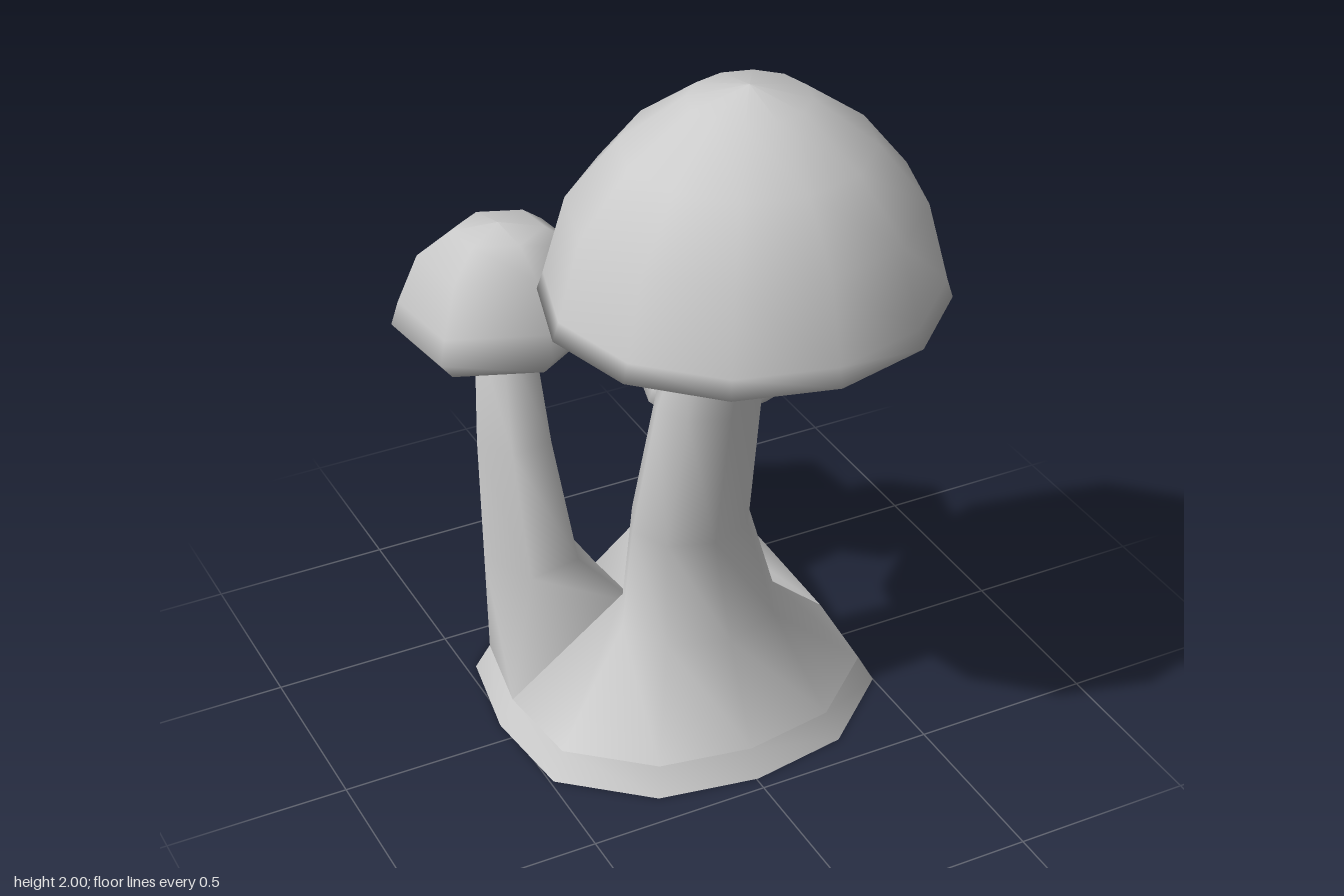
import * as THREE from 'three';

const material = new THREE.MeshStandardMaterial({ color: 0xcccccc, side: THREE.DoubleSide });
const STEP = Math.PI / 6;

// Mound radius factors from front (0) to back (6), the same on both sides
const BULGE = [1, 1.05, 1.09, 1, 1.05, 1.045, 1];

// Point k on the twelve-sided, slightly squarish ring of the mound
function moundPoint(k, radius, y) {
  const turn = (k + 12) % 12;
  const r = radius * BULGE[Math.min(turn, 12 - turn)];
  return [0.005 + r * Math.sin(k * STEP), y, -0.065 + r * Math.cos(k * STEP)];
}

// Joins closed rings of equal point count, listed from bottom to top
function loft(rings) {
  const n = rings[0].length;
  const index = [];
  for (let i = 0; i < rings.length - 1; i++) {
    for (let j = 0; j < n; j++) {
      const a = i * n + j, b = i * n + (j + 1) % n;
      index.push(a, b, a + n, b, b + n, a + n);
    }
  }
  const geometry = new THREE.BufferGeometry();
  geometry.setAttribute('position', new THREE.Float32BufferAttribute(rings.flat(2), 3));
  geometry.setIndex(index);
  geometry.computeVertexNormals();
  return geometry;
}

// Stem rising from mound points first..last and the shared hollow between the stems
// sections: [y, centre x, centre z, radius x, radius z]
function makeStem(name, first, last, sections) {
  const foot = [];
  for (let k = first; k <= last; k++) foot.push(moundPoint(k, 0.485, 0.075));
  const outer = foot.length;
  foot.push([0, 0.12, -0.25]);
  const n = foot.length;
  const middle = (first + last) / 2 * STEP;
  const rings = sections.map(([y, cx, cz, rx, rz]) => foot.map((_, j) => {
    const a = middle + (j - (outer - 1) / 2) * 2 * Math.PI / n;
    return [cx + rx * Math.sin(a), y, cz + rz * Math.cos(a)];
  }));
  const mesh = new THREE.Mesh(loft([foot, ...rings]), material);
  mesh.name = name;
  return mesh;
}

// Domed cap with a tucked-in rim and hollowed underside; profile: [radius, height]
function makeCap(name, profile, { sides, start, position, tilt, stretch }) {
  const points = profile.map(([r, y]) => new THREE.Vector2(r, y));
  const geometry = new THREE.LatheGeometry(points, sides, start);
  geometry.scale(stretch[0], 1, stretch[1]);
  const mesh = new THREE.Mesh(geometry, material);
  mesh.name = name;
  mesh.position.set(...position);
  mesh.rotation.set(tilt[0], 0, tilt[1]);
  return mesh;
}

export function createModel() {
  const group = new THREE.Group();
  group.name = 'mushroomCluster';

  // Open skirt around the foot of the cluster
  const ring = (r, y) => Array.from({ length: 12 }, (_, k) => moundPoint(k, r, y));
  const base = new THREE.Mesh(loft([ring(0.525, 0), ring(0.485, 0.075)]), material);
  base.name = 'baseSkirt';
  group.add(base);

  // Stems
  group.add(
    makeStem('largeStem', -3, 3, [
      [0.35, 0.005, 0.105, 0.23, 0.19],
      [0.7, -0.055, 0.17, 0.168, 0.145],
      [1.1, -0.035, 0.235, 0.148, 0.123],
      [1.4, 0, 0.29, 0.12, 0.093],
      [1.5, 0.005, 0.305, 0.115, 0.09],
    ]),
    makeStem('smallStem', 3, 6, [
      [0.35, 0.255, -0.37, 0.115, 0.095],
      [0.55, 0.295, -0.365, 0.068, 0.07],
      [0.77, 0.28, -0.362, 0.048, 0.055],
    ]),
    makeStem('mediumStem', 6, 9, [
      [0.35, -0.29, -0.34, 0.135, 0.15],
      [0.7, -0.305, -0.395, 0.107, 0.107],
      [1.0, -0.275, -0.515, 0.082, 0.077],
    ]),
  );

  // Caps
  group.add(
    makeCap('largeCap', [
      [0, 0.08], [0.4, -0.045], [0.523, 0.01], [0.507, 0.06], [0.45, 0.27],
      [0.32, 0.43], [0.155, 0.55], [0, 0.585],
    ], { sides: 12, start: 0, position: [0.025, 1.415, 0.307], tilt: [0.02, 0], stretch: [1, 0.935] }),
    makeCap('mediumCap', [
      [0, 0.03], [0.235, -0.02], [0.285, 0.04], [0.265, 0.11], [0.21, 0.25],
      [0.12, 0.32], [0, 0.34],
    ], { sides: 6, start: 0.11, position: [-0.274, 0.95, -0.533], tilt: [0, 0], stretch: [1.07, 0.94] }),
    makeCap('smallCap', [
      [0, 0.035], [0.165, -0.015], [0.214, 0.03], [0.2, 0.08], [0.16, 0.17],
      [0.09, 0.225], [0, 0.24],
    ], { sides: 6, start: -0.23, position: [0.272, 0.715, -0.35], tilt: [0, -0.08], stretch: [1.07, 0.91] }),
  );
  return group;
}
